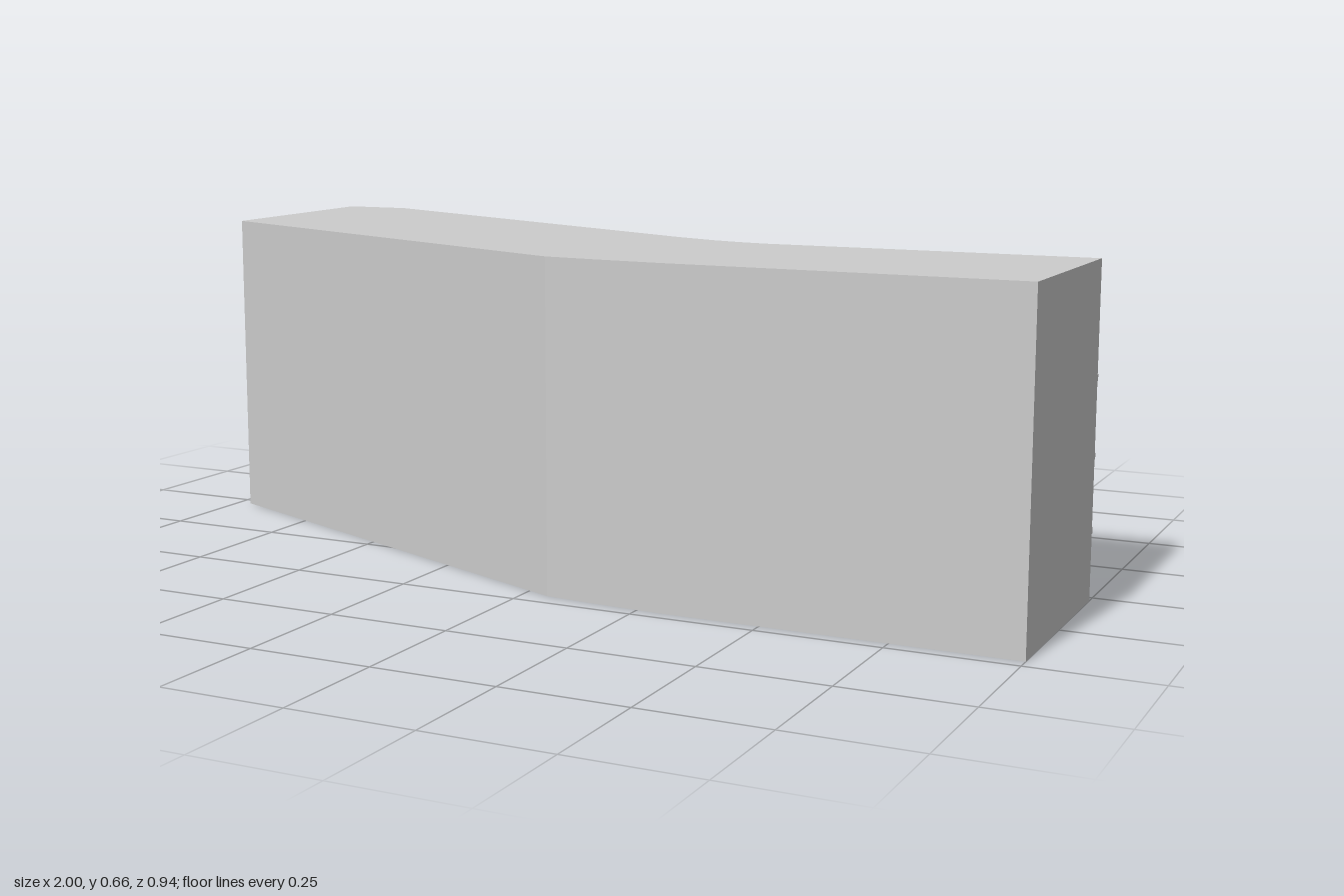
import * as THREE from 'three';

const H = 0.66;
const material = new THREE.MeshStandardMaterial({ color: 0xcccccc, flatShading: true });

// Plan lines as [x, z]: curved rear wall from right end to left end, then the front wall
const rear = [[1, 0.024], [0.32, 0.027], [0.26, 0.018], [0.2, 0.003], [0.1, -0.034], [0, -0.08], [-0.85, -0.468], [-1, -0.463]];
const front = [[-0.97, 0.03], [0.05, 0.455], [0.16, 0.464], [0.3, 0.471], [1, 0.471]];

// Extrude a plan outline upwards from height y
function slab(name, points, y, height) {
  const shape = new THREE.Shape(points.map(([x, z]) => new THREE.Vector2(x, -z)));
  const geometry = new THREE.ExtrudeGeometry(shape, { depth: height, bevelEnabled: false });
  geometry.rotateX(-Math.PI / 2).translate(0, y, 0);
  const mesh = new THREE.Mesh(geometry, material);
  mesh.name = name;
  return mesh;
}

// Depth and outward direction of the rear wall at x
function wallAt(x) {
  const i = rear.findIndex((p, k) => k < rear.length - 1 && x <= p[0] && x >= rear[k + 1][0]);
  const [x0, z0] = rear[i], [x1, z1] = rear[i + 1];
  const dx = x0 - x1, dz = z0 - z1, l = Math.hypot(dx, dz);
  return { z: z1 + (x - x1) / dx * dz, nx: dz / l, nz: -dx / l };
}

// Arched outline standing on y = bottom
function arch(path, halfWidth, bottom, spring) {
  path.moveTo(-halfWidth, bottom);
  path.lineTo(halfWidth, bottom);
  for (let i = 0; i <= 4; i++) {
    const a = i / 4 * Math.PI;
    path.lineTo(halfWidth * Math.cos(a), spring + halfWidth * Math.sin(a));
  }
  path.closePath();
  return path;
}

export function createModel() {
  const model = new THREE.Group();
  model.name = 'building';
  model.add(slab('buildingBody', [...rear, ...front], 0, H));

  // Thin ledges between the storeys, following the rear wall
  const out = rear.map(([x, z], i) => {
    const a = rear[Math.max(i - 1, 0)], b = rear[Math.min(i + 1, rear.length - 1)];
    const dx = a[0] - b[0], dz = a[1] - b[1], l = Math.hypot(dx, dz);
    const end = i === 0 || i === rear.length - 1;
    return [x + (end ? 0 : dz / l * 0.005), z - dx / l * 0.005];
  });
  const inner = rear.map(([x, z]) => [x, z + 0.01]).reverse();
  for (const y of [0.132, 0.276, 0.427]) model.add(slab('ledge', [...out, ...inner], y, 0.013));

  // Raised arched window frames, storey by storey
  const shape = arch(new THREE.Shape(), 0.0275, 0, 0.045);
  shape.holes.push(arch(new THREE.Path(), 0.018, 0.009, 0.045));
  const frame = new THREE.ExtrudeGeometry(shape, { depth: 0.02, bevelEnabled: false, curveSegments: 4 });
  frame.translate(0, 0, -0.008);
  const storeys = [
    [0.038, [0.725, 0.42, 0.04, -0.225, -0.48, -0.75]],
    [0.187, [0.85, 0.58, -0.085, -0.61]],
    [0.327, [0.725, 0.42, 0.04, -0.225, -0.75]],
    [0.51, [0.85, 0.58, 0.17, -0.355]],
  ];
  for (const [y, xs] of storeys) {
    for (const x of xs) {
      const w = wallAt(x);
      const mesh = new THREE.Mesh(frame, material);
      mesh.name = 'windowFrame';
      mesh.position.set(x, y, w.z);
      mesh.rotation.y = Math.atan2(w.nx, w.nz);
      model.add(mesh);
    }
  }
  return model;
}
